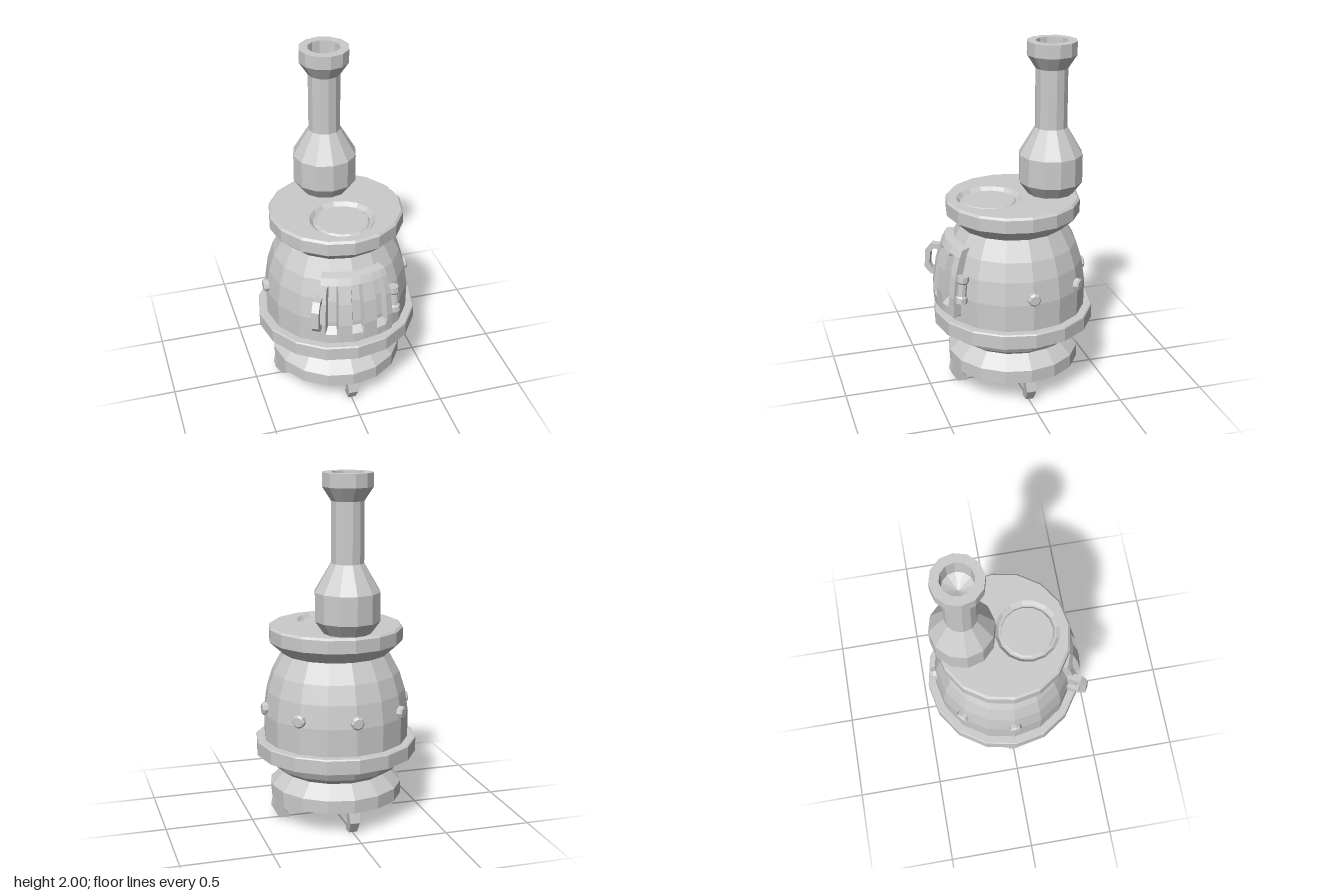
import * as THREE from 'three';

const material = new THREE.MeshStandardMaterial({ color: 0xcccccc, flatShading: true });
const vec = (list) => list.map(([x, y]) => new THREE.Vector2(x, y));

function part(name, geometry, parent) {
  const mesh = new THREE.Mesh(geometry, material);
  mesh.name = name;
  parent.add(mesh);
  return mesh;
}

const lathe = (profile, sides) => new THREE.LatheGeometry(vec(profile), sides);

// Flat outline in (radius, height), given a width and centred on its plane
function slab(outline, width) {
  const g = new THREE.ExtrudeGeometry(new THREE.Shape(vec(outline)), { depth: width, bevelEnabled: false });
  return g.translate(0, 0, -width / 2);
}

// Turn a part built along +x so that it points outward at an angle from the front
const faceOutward = (mesh, angle) => { mesh.rotation.y = angle - Math.PI / 2; };

const BELLY = [[0.415, 0.475], [0.417, 0.63], [0.398, 0.76], [0.365, 0.865], [0.305, 0.975]];

// Belly radius at a height
function bellyRadius(y) {
  for (let i = 1; i < BELLY.length; i++) {
    const [r0, y0] = BELLY[i - 1], [r1, y1] = BELLY[i];
    if (y <= y1) return r0 + (r1 - r0) * (y - y0) / (y1 - y0);
  }
  return 0.305;
}

// Curved door: a grid wrapped on the belly, raised except at its rim and in its slots
function doorGeometry() {
  const columns = [[-0.505, -0.03], [-0.49, 0.043]];
  for (const c of [-0.325, 0, 0.325]) {
    columns.push([c - 0.078, 0.043], [c - 0.058, 0.008, true], [c + 0.058, 0.008, true], [c + 0.078, 0.043]);
  }
  columns.push([0.49, 0.043], [0.505, -0.03]);
  const rows = [0.915, 0.903, 0.865, 0.845, 0.76, 0.63, 0.605, 0.57, 0.522, 0.51];
  const g = new THREE.PlaneGeometry(1, 1, columns.length - 1, rows.length - 1);
  const p = g.attributes.position;
  rows.forEach((y, j) => columns.forEach(([angle, height, slot], i) => {
    let h = height;
    if (slot && (j < 3 || j > 6)) h = 0.043;
    if (j === 0 || j === rows.length - 1) h = -0.03;
    const r = bellyRadius(y) + h;
    p.setXYZ(j * columns.length + i, r * Math.sin(angle), y, r * Math.cos(angle));
  }));
  g.computeVertexNormals();
  return g;
}

export function createModel() {
  const stove = new THREE.Group();
  stove.name = 'stove';
  stove.position.z = -0.004;

  // Base, bowl, belly and collar
  part('base', lathe([[0, 0.13], [0.38, 0.13], [0.38, 0.205], [0.305, 0.28]], 16), stove);
  part('bowl', lathe([[0.305, 0.28], [0.365, 0.32], [0.405, 0.4]], 16), stove);
  part('beltRing', lathe([[0.4, 0.39], [0.463, 0.39], [0.463, 0.468], [0.457, 0.475], [0.41, 0.475]], 16), stove);
  part('belly', lathe(BELLY, 16), stove);
  part('collar', lathe([[0.305, 0.975], [0.382, 1.045], [0.382, 1.118], [0.37, 1.13]], 16), stove);

  // Top plate with a round opening for the cooking lid
  const ring = (r, cy) => Array.from({ length: 16 }, (_, k) =>
    new THREE.Vector2(r * Math.cos(k * Math.PI / 8), cy + r * Math.sin(k * Math.PI / 8)));
  const plate = new THREE.Shape(ring(0.37, 0));
  plate.holes.push(new THREE.Path(ring(0.185, -0.138)));
  part('topPlate', new THREE.ShapeGeometry(plate).rotateX(-Math.PI / 2).translate(0, 1.13, 0), stove);
  part('cookingLid', lathe([[0.185, 1.13], [0.165, 1.108], [0.155, 1.108], [0.145, 1.118], [0, 1.118]], 16),
    stove).position.z = 0.138;

  // Chimney with a hollow mouth
  part('chimney', lathe([[0, 1.12], [0.125, 1.12], [0.183, 1.2], [0.183, 1.36], [0.092, 1.515], [0.092, 1.85],
    [0.141, 1.925], [0.141, 2], [0.09, 2], [0.085, 1.9], [0, 1.86]], 12), stove).position.z = -0.226;

  // Claw legs, narrowing towards the toe
  const leg = slab([[0.295, 0.14], [0.315, 0.1], [0.318, 0.055], [0.285, 0.018], [0.287, 0], [0.345, 0.005],
    [0.383, 0.07], [0.368, 0.14]], 0.066);
  const lp = leg.attributes.position;
  for (let i = 0; i < lp.count; i++) lp.setZ(i, lp.getZ(i) * (0.68 + 2.3 * lp.getY(i)));
  leg.computeVertexNormals();
  for (let k = 0; k < 4; k++) faceOutward(part('leg', leg, stove), k * Math.PI / 2);

  // Bolts round the sides and back
  const bolt = lathe([[0.036, -0.03], [0.038, 0.012], [0.028, 0.022], [0, 0.022]], 8)
    .rotateZ(-Math.PI / 2).translate(0.413, 0.665, 0);
  for (let k = 2; k <= 6; k++) faceOutward(part('bolt', bolt, stove), k * Math.PI / 4);

  // Door with its handle and hinge
  const door = new THREE.Group();
  door.name = 'door';
  stove.add(door);
  part('doorPanel', doorGeometry(), door);
  const handle = slab([[0.4, 0.765], [0.465, 0.77], [0.487, 0.745], [0.492, 0.67], [0.475, 0.642], [0.4, 0.645],
    [0.4, 0.61], [0.485, 0.608], [0.522, 0.65], [0.518, 0.755], [0.48, 0.802], [0.4, 0.797]], 0.042);
  faceOutward(part('handle', handle, door), -0.5);
  const hinge = part('hinge', lathe([[0, -0.077], [0.034, -0.077], [0.034, -0.045], [0.026, -0.035], [0.026, 0.035],
    [0.034, 0.045], [0.034, 0.077], [0, 0.077]], 8).rotateZ(Math.PI * 0.04), door);
  hinge.position.set(0.432 * Math.sin(0.58), 0.695, 0.432 * Math.cos(0.58));
  hinge.rotation.y = 0.58 - Math.PI / 2;

  const model = new THREE.Group();
  model.name = 'model';
  model.add(stove);
  return model;
}
